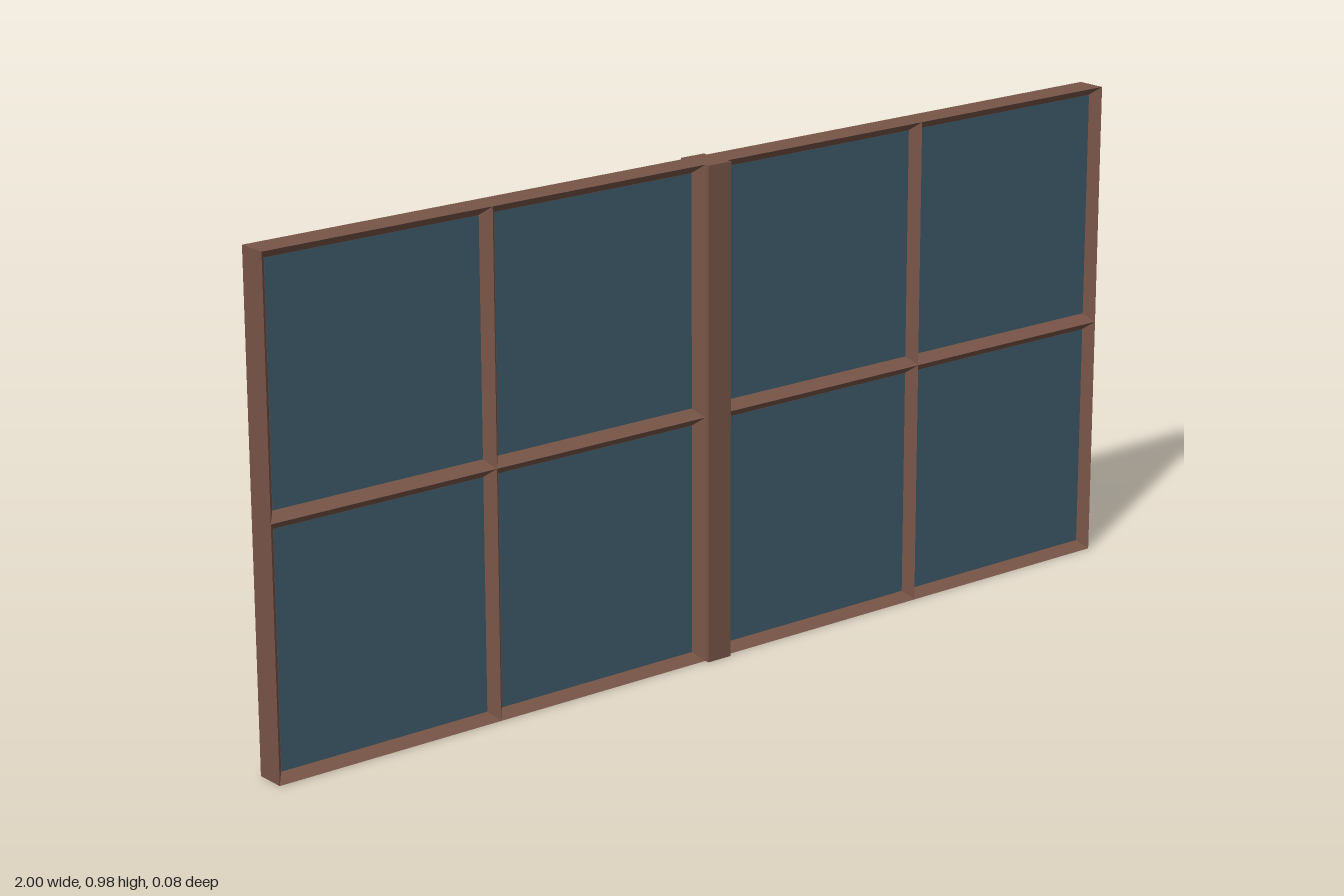
import * as THREE from 'three';

const H = 0.975;      // overall height
const POST = 0.027;   // half width of the centre post
const BACK = -0.03;   // rear of the frame
const GLASS = 0.01;   // depth at which the panes sit
const RIDGE = 0.02;   // height of the bevelled bars above the panes
const BEVEL = 0.017;  // width of one bevel

const wood = new THREE.MeshStandardMaterial({ color: 0x795548, flatShading: true });
const glass = new THREE.MeshStandardMaterial({ color: 0x3d5a68, flatShading: true });

const X = new THREE.Vector3(1, 0, 0);
const Y = new THREE.Vector3(0, 1, 0);
const Z = new THREE.Vector3(0, 0, 1);

// Ridge-shaped bar; before and after are the bevel widths on each side of its ridge
function bevelBar(before, after, length) {
  const profile = new THREE.Shape([
    new THREE.Vector2(-before, 0),
    new THREE.Vector2(after, 0),
    new THREE.Vector2(0, RIDGE),
  ]);
  return new THREE.ExtrudeGeometry(profile, { depth: length, bevelEnabled: false });
}

function addMesh(group, name, geometry, material, x, y, z) {
  const mesh = new THREE.Mesh(geometry, material);
  mesh.name = name;
  mesh.position.set(x, y, z);
  group.add(mesh);
}

function buildSash(name, x0, x1) {
  const sash = new THREE.Group();
  sash.name = name;
  const width = x1 - x0;
  const xMid = (x0 + x1) / 2;

  // Solid back panel
  addMesh(sash, 'backPanel', new THREE.BoxGeometry(width, H, GLASS - BACK), wood,
    xMid, H / 2, (GLASS + BACK) / 2);

  // Edge bars slope inwards only, the middle bars slope both ways
  const bevels = [[0, BEVEL], [BEVEL, BEVEL], [BEVEL, 0]];
  const upright = new THREE.Matrix4().makeBasis(X, Z, Y.clone().negate());
  const level = new THREE.Matrix4().makeBasis(Y, Z, X);
  bevels.forEach(([before, after], i) => {
    addMesh(sash, 'uprightBar', bevelBar(before, after, H).applyMatrix4(upright), wood,
      x0 + (width * i) / 2, H, GLASS);
    addMesh(sash, 'crossBar', bevelBar(before, after, width).applyMatrix4(level), wood,
      x0, (H * i) / 2, GLASS);
  });

  // Four panes
  for (const sx of [-1, 1]) {
    for (const sy of [-1, 1]) {
      addMesh(sash, 'pane',
        new THREE.PlaneGeometry(width / 2 - 2 * BEVEL, H / 2 - 2 * BEVEL), glass,
        xMid + (sx * width) / 4, H / 2 + (sy * H) / 4, GLASS + 0.001);
    }
  }
  return sash;
}

export function createModel() {
  const model = new THREE.Group();
  model.name = 'window';
  model.add(buildSash('rightSash', -1, -POST), buildSash('leftSash', POST, 1));

  // Centre post, slightly proud of the frame front and back
  addMesh(model, 'centrePost', new THREE.BoxGeometry(POST * 2, H, 0.08), wood, 0, H / 2, 0);
  return model;
}
